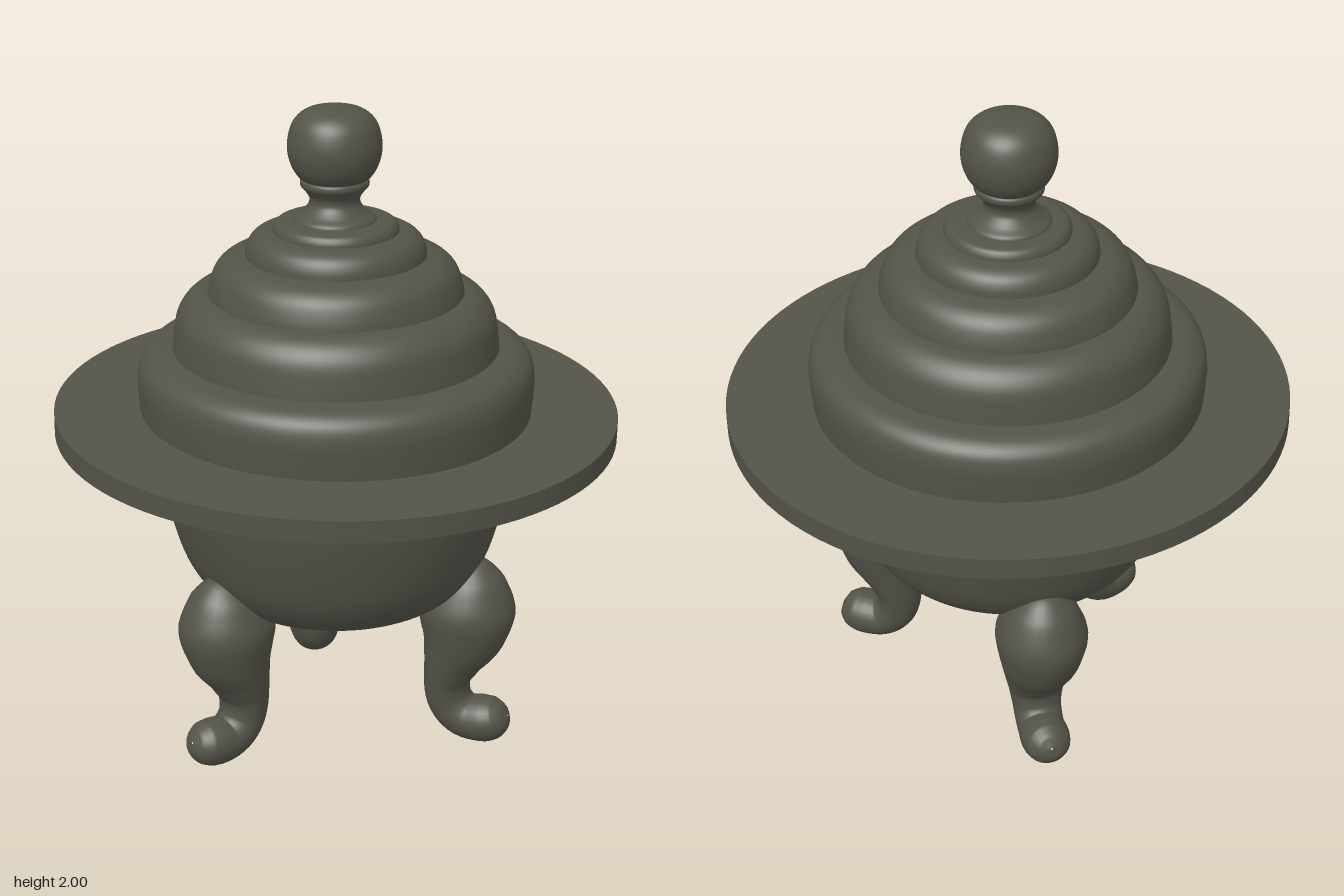
import * as THREE from 'three';

const V = (x, y, z = 0) => new THREE.Vector3(x, y, z);

// Smooth lathe through [radius, height] pairs, listed bottom to top
function turned(name, pairs, material, divisions = 40) {
  const curve = new THREE.CatmullRomCurve3(pairs.map(([r, y]) => V(r, y)), false, 'centripetal');
  const points = curve.getPoints(divisions).map(p => new THREE.Vector2(Math.max(p.x, 0), p.y));
  const mesh = new THREE.Mesh(new THREE.LatheGeometry(points, 80), material);
  mesh.name = name;
  return mesh;
}

// Curved leg: elliptical rings swept down a path in the x-y plane
function legGeometry() {
  // path x, path y, half thickness in the plane, half width across it
  const stations = [
    [0.425, 0.635, 0.004, 0.004],
    [0.43, 0.62, 0.06, 0.055],
    [0.435, 0.57, 0.112, 0.105],
    [0.432, 0.47, 0.152, 0.142],
    [0.42, 0.38, 0.132, 0.128],
    [0.392, 0.29, 0.094, 0.107],
    [0.373, 0.21, 0.072, 0.088],
    [0.386, 0.135, 0.07, 0.076],
    [0.432, 0.092, 0.07, 0.074],
    [0.492, 0.09, 0.074, 0.077],
    [0.535, 0.1, 0.066, 0.069],
    [0.565, 0.11, 0.038, 0.04],
    [0.573, 0.113, 0.003, 0.003],
  ];
  const path = new THREE.CatmullRomCurve3(stations.map(s => V(s[0], s[1])));
  const size = new THREE.CatmullRomCurve3(stations.map(s => V(s[2], s[3])));
  const rings = 60, sides = 28, positions = [], index = [];
  const across = V(0, 0, 1);
  for (let i = 0; i <= rings; i++) {
    const t = i / rings;
    const c = path.getPoint(t), s = size.getPoint(t);
    const normal = across.clone().cross(path.getTangent(t)).normalize();
    for (let j = 0; j < sides; j++) {
      const a = (j / sides) * Math.PI * 2;
      const p = c.clone()
        .addScaledVector(normal, Math.cos(a) * Math.max(s.x, 0.002))
        .addScaledVector(across, Math.sin(a) * Math.max(s.y, 0.002));
      positions.push(p.x, p.y, p.z);
      if (i < rings) {
        const k = (j + 1) % sides, r0 = i * sides, r1 = r0 + sides;
        index.push(r0 + j, r0 + k, r1 + k, r0 + j, r1 + k, r1 + j);
      }
    }
  }
  const g = new THREE.BufferGeometry();
  g.setAttribute('position', new THREE.Float32BufferAttribute(positions, 3));
  g.setIndex(index);
  g.computeVertexNormals();
  return g;
}

export function createModel() {
  const group = new THREE.Group();
  const bronze = new THREE.MeshStandardMaterial({ color: 0x545349 });
  bronze.name = 'dark bronze';

  // Bowl with a flared lip
  group.add(turned('bowl', [
    [0, 0.46], [0.2, 0.461], [0.31, 0.468], [0.375, 0.49], [0.43, 0.54], [0.472, 0.61],
    [0.505, 0.71], [0.528, 0.81], [0.545, 0.91], [0.56, 0.97], [0.59, 1.01], [0.6, 1.04],
  ], bronze, 60));

  // Wide flat rim, tilted very slightly
  const rim = new THREE.Mesh(new THREE.CylinderGeometry(0.855, 0.855, 0.066, 96), bronze);
  rim.name = 'rim';
  rim.position.y = 1.046;
  rim.rotation.set(0.014, 0, -0.007);
  group.add(rim);

  // Stepped lid made of rounded tiers
  const lid = new THREE.Group();
  lid.name = 'lid';
  const tiers = [
    [[0.592, 1.05], [0.598, 1.12], [0.6, 1.19], [0.587, 1.235], [0.555, 1.262], [0.5, 1.272], [0.4, 1.275]],
    [[0.494, 1.25], [0.488, 1.31], [0.476, 1.375], [0.452, 1.412], [0.42, 1.434], [0.385, 1.442], [0.3, 1.444]],
    [[0.387, 1.42], [0.378, 1.47], [0.358, 1.517], [0.325, 1.544], [0.275, 1.556], [0.2, 1.558]],
    [[0.272, 1.54], [0.267, 1.58], [0.252, 1.608], [0.225, 1.625], [0.185, 1.63], [0.12, 1.632]],
    [[0.188, 1.615], [0.187, 1.638], [0.175, 1.656], [0.145, 1.661], [0.08, 1.663]],
  ];
  tiers.forEach((t, i) => lid.add(turned('lidTier' + (i + 1), t, bronze, 28)));

  // Finial: foot, neck with a small collar, and ball
  const finial = new THREE.Group();
  finial.name = 'finial';
  finial.add(turned('finialNeck', [
    [0.126, 1.65], [0.122, 1.668], [0.098, 1.685], [0.077, 1.71], [0.076, 1.73],
    [0.09, 1.752], [0.102, 1.767], [0.1, 1.782], [0.08, 1.79],
  ], bronze));
  finial.add(turned('finialBall', [
    [0.06, 1.775], [0.098, 1.785], [0.123, 1.815], [0.138, 1.86], [0.138, 1.905],
    [0.122, 1.955], [0.09, 1.985], [0.045, 1.998], [0, 2],
  ], bronze));
  finial.position.z = -0.006;
  lid.add(finial);
  group.add(lid);

  // Three legs spaced evenly around the bowl
  const legShape = legGeometry();
  ['rightLeg', 'frontLeg', 'backLeg'].forEach((name, i) => {
    const leg = new THREE.Mesh(legShape, bronze);
    leg.name = name;
    leg.position.y = -0.014;
    leg.rotation.y = Math.PI + i * Math.PI * 2 / 3;
    group.add(leg);
  });

  return group;
}
